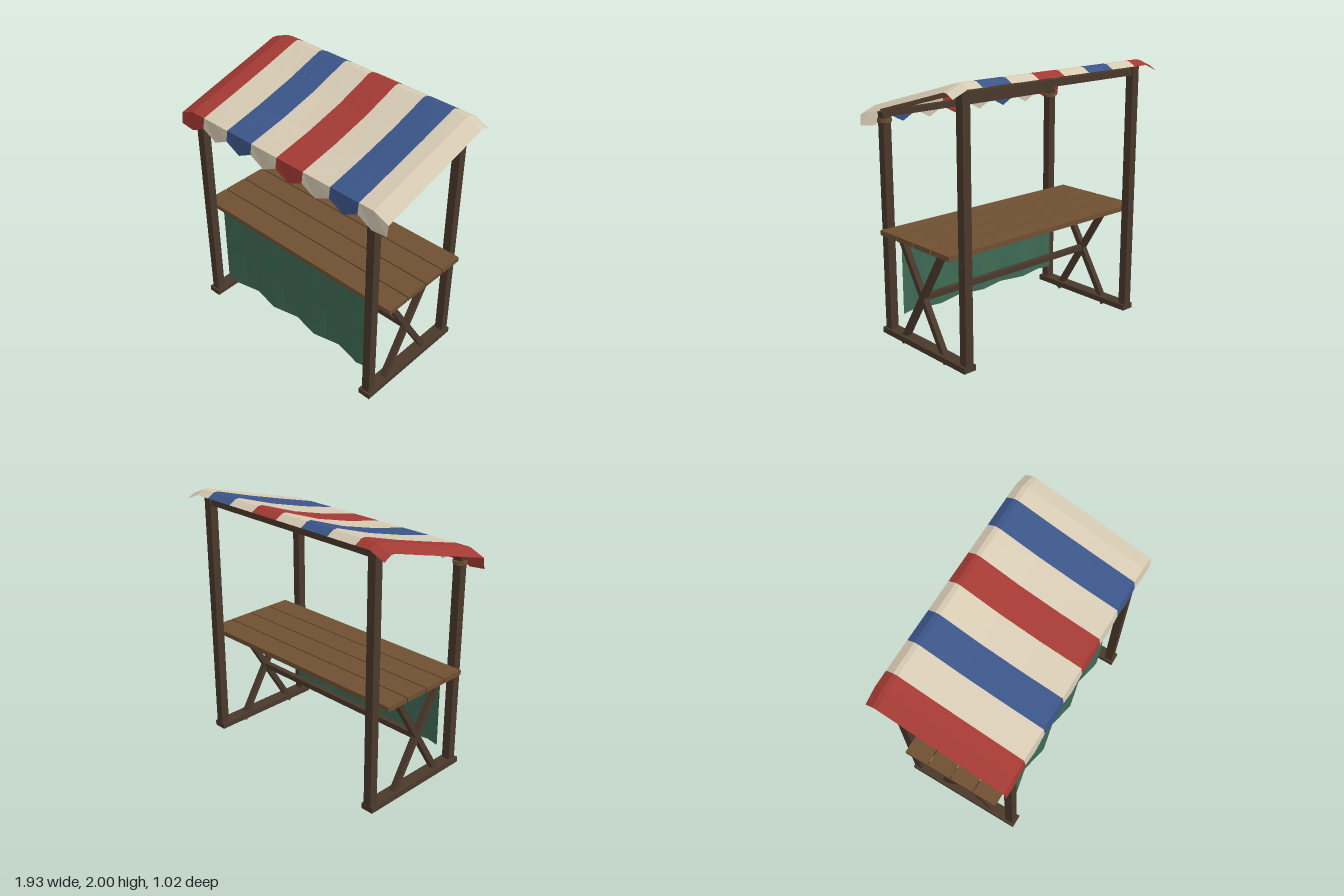
import * as THREE from 'three';

function material(name, color) {
  const m = new THREE.MeshStandardMaterial({ color, side: THREE.DoubleSide, flatShading: true });
  m.name = name;
  return m;
}

// Flat-shaded sheet from point(u, v) over a grid of columns and rows
function sheet(us, vs, point) {
  const pos = [], index = [];
  us.forEach(u => vs.forEach(v => pos.push(...point(u, v))));
  const n = vs.length;
  for (let i = 0; i < us.length - 1; i++) {
    for (let j = 0; j < n - 1; j++) {
      const a = i * n + j, b = a + n;
      index.push(a, b, a + 1, b, b + 1, a + 1);
    }
  }
  const g = new THREE.BufferGeometry();
  g.setAttribute('position', new THREE.Float32BufferAttribute(pos, 3));
  g.setIndex(index);
  g.computeVertexNormals();
  return g;
}

export function createModel() {
  const model = new THREE.Group();
  model.name = 'marketStall';
  const darkWood = material('dark wood', 0x4a392b);
  const plankWood = material('plank wood', 0x6f5033);
  const green = material('green cloth', 0x3f6a55);
  const red = material('red canvas', 0xa43a34);
  const blue = material('blue canvas', 0x3b5588);
  const cream = material('cream canvas', 0xd6cab3);

  const add = (name, geometry, mat, x = 0, y = 0, z = 0) => {
    const mesh = new THREE.Mesh(geometry, mat);
    mesh.name = name;
    mesh.position.set(x, y, z);
    model.add(mesh);
    return mesh;
  };
  const box = (name, mat, w, h, d, x, y, z) =>
    add(name, new THREE.BoxGeometry(w, h, d), mat, x, y, z);

  // Beam in the y-z plane between two [z, y] points
  const slanted = (name, mat, w, h, x, [z0, y0], [z1, y1]) => {
    const beam = box(name, mat, w, h, Math.hypot(z1 - z0, y1 - y0), x, (y0 + y1) / 2, (z0 + z1) / 2);
    beam.rotation.x = -Math.atan2(y1 - y0, z1 - z0);
  };

  // Side frames
  for (const s of [-1, 1]) {
    const x = 0.81 * s;
    box('frontPost', darkWood, 0.064, 1.65, 0.064, x, 0.875, 0.442);
    box('backPost', darkWood, 0.064, 1.9, 0.064, x, 1.0, -0.42);
    box('footRail', darkWood, 0.1, 0.042, 0.945, x, 0.059, 0.018);
    slanted('crossBrace', darkWood, 0.046, 0.042, x, [0.30, 0.015], [-0.21, 0.85]);
    slanted('crossBrace', darkWood, 0.044, 0.042, x, [-0.21, 0.015], [0.30, 0.85]);
    slanted('rafter', plankWood, 0.04, 0.036, x, [0.46, 1.709], [-0.42, 1.95]);
    const ring = add('postLashing', new THREE.CylinderGeometry(0.052, 0.052, 0.028, 8), plankWood, x, 1.64, 0.442);
    ring.rotation.y = Math.PI / 8;
  }

  // Long beams
  box('stretcher', darkWood, 1.6, 0.042, 0.042, 0, 0.433, 0.045);
  box('frontBeam', darkWood, 1.6, 0.045, 0.045, 0, 1.685, 0.442);
  box('backBeam', darkWood, 1.6, 0.05, 0.045, 0, 1.915, -0.42);

  // Counter planks
  for (let i = 0; i < 4; i++) {
    box('counterPlank', plankWood, 1.845, 0.036, 0.184, 0, 0.854, 0.288 - i * 0.194);
  }

  // Hanging cloth, rippling towards the hem
  const folds = Array.from({ length: 15 }, (_, i) => i / 14);
  add('frontCloth', sheet(folds, [0, 0.5, 1], (u, v) => [
    (u - 0.5) * 1.51,
    0.836 - v * 0.646,
    0.368 + (0.003 + 0.02 * v) * Math.sin(u * Math.PI * 7),
  ]), green);

  // Canopy: striped sheet sagging in the middle, folded down at both ends
  const stripe = 0.2415, half = 4 * stripe, fold = half - stripe / 2;
  const drop = x => Math.max(0, Math.abs(x) - fold) / (half - fold) * 0.05;
  const roofPoint = (x, [z, y, sag]) =>
    [x, y - drop(x) - sag * Math.max(0, Math.cos(x * Math.PI / 2 / fold)), z];
  const profile = [
    [0.498, 1.742, 0], [0.19, 1.829, 0.024], [-0.12, 1.915, 0.026],
    [-0.42, 2.0, 0], [-0.455, 1.998, 0], [-0.512, 1.966, 0],
  ];
  const colours = [red, cream, blue, cream];
  for (let i = 0; i < 8; i++) {
    const mid = -half + (i + 0.5) * stripe;
    const xs = [mid - stripe / 2, mid, mid + stripe / 2];
    add('canopyStripe', sheet(xs, profile, roofPoint), colours[i % 4]);
    // Pointed valance flap along the front edge
    add('valanceFlap', sheet(xs, [1, 0], (x, v) => {
      const bottom = x === mid ? 1.597 : 1.66;
      return [x, (v ? bottom : 1.742) - drop(x), v ? 0.51 : 0.498];
    }), colours[i % 4]);
  }
  return model;
}
